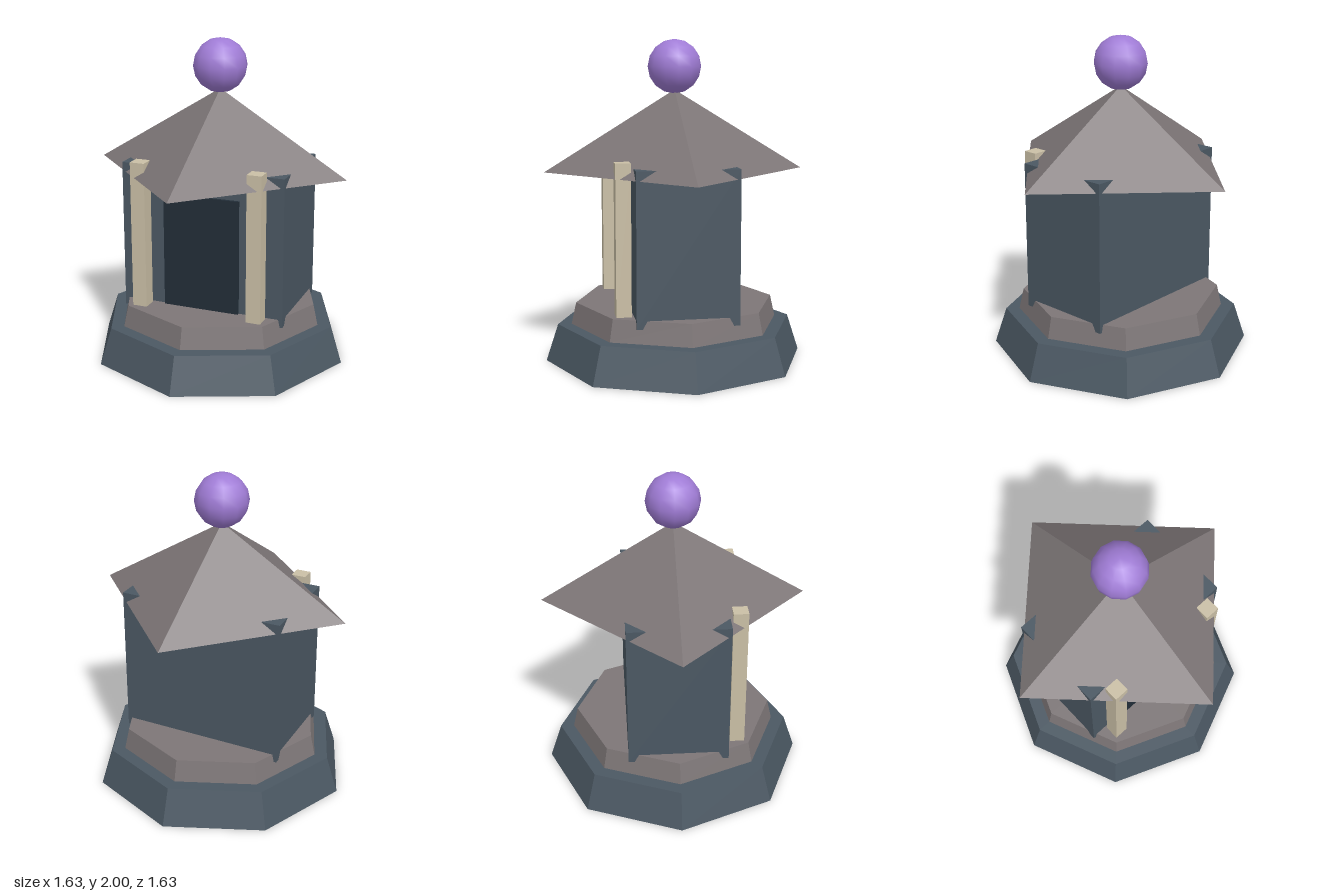
import * as THREE from 'three';

const material = (name, color, flatShading = true) => {
  const m = new THREE.MeshStandardMaterial({ color, flatShading });
  m.name = name;
  return m;
};

export function createModel() {
  const group = new THREE.Group();
  const slate = material('slate', 0x4b5863);
  const stone = material('warm grey stone', 0x7d7677);
  const cream = material('cream', 0xcabfa6);
  const dark = material('dark doorway', 0x222e38);
  const violet = material('violet', 0xa07cd6, false);

  // Places a geometry with its centre at (x, y, z)
  const add = (name, geometry, mat, x, y, z) => {
    const mesh = new THREE.Mesh(geometry, mat);
    mesh.name = name;
    mesh.position.set(x, y, z);
    group.add(mesh);
  };

  // Two-tier octagonal plinth
  add('base', new THREE.CylinderGeometry(0.74, 0.815, 0.23, 8), slate, 0, 0.115, 0);
  add('step', new THREE.CylinderGeometry(0.625, 0.655, 0.135, 8), stone, 0, 0.2975, 0);

  // Chamber, its corners breaking through step and roof
  add('chamber', new THREE.BoxGeometry(1.046, 0.935, 0.62), slate, 0, 0.7825, 0);
  add('door', new THREE.BoxGeometry(0.486, 0.72, 0.02), dark, 0, 0.725, 0.318);

  // Front pillars
  for (const [name, side] of [['leftPillar', 1], ['rightPillar', -1]]) {
    add(name, new THREE.BoxGeometry(0.092, 0.92, 0.092), cream, side * 0.373, 0.825, 0.372);
  }

  // Four-sided roof with its corners on the axes, and the orb on top
  add('roof', new THREE.ConeGeometry(0.812, 0.5, 4), stone, 0, 1.44, 0);
  add('orb', new THREE.SphereGeometry(0.167, 12, 8), violet, 0, 1.833, 0);

  return group;
}
